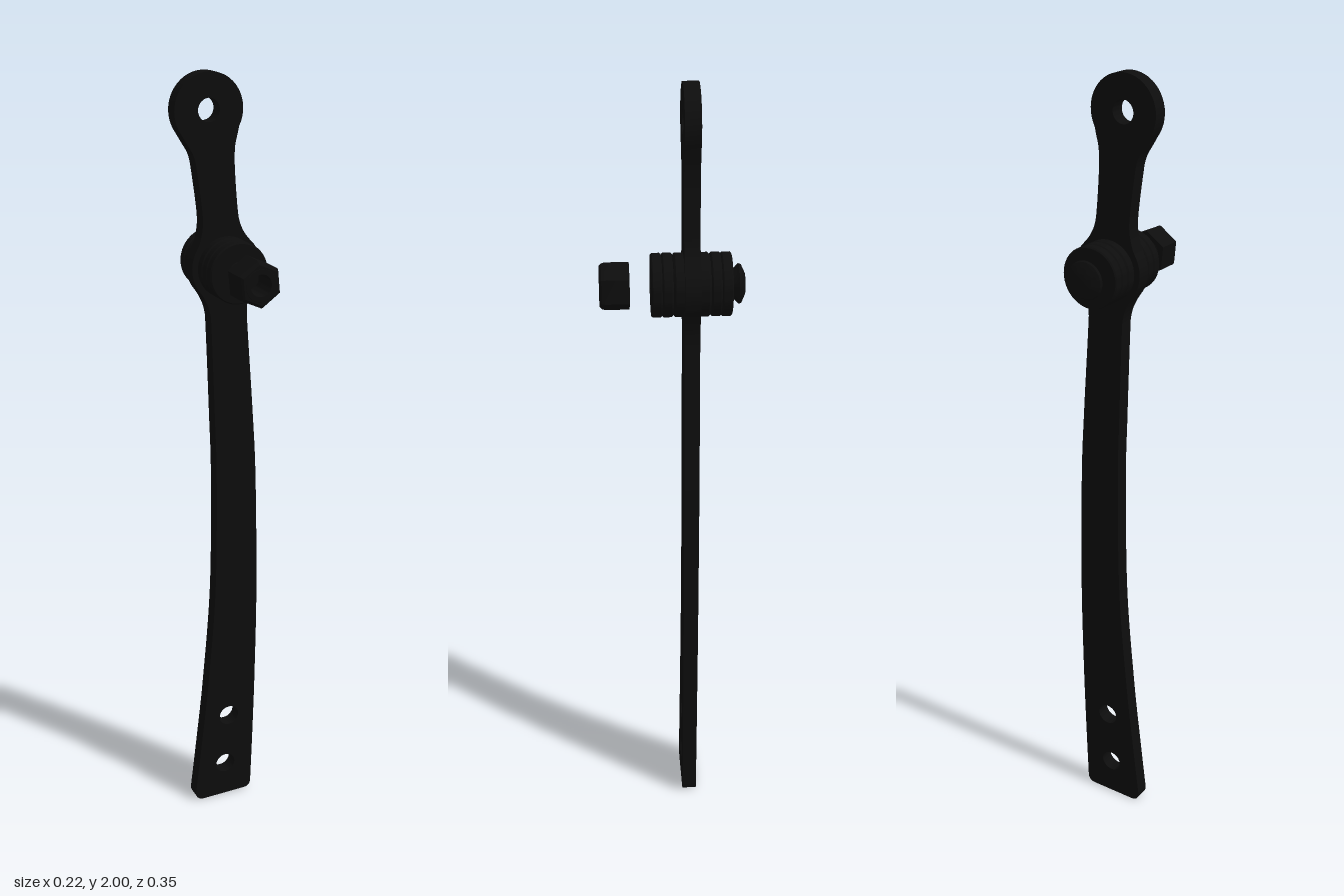
import * as THREE from 'three';
import { toCreasedNormals } from 'three/addons/utils/BufferGeometryUtils.js';

const black = new THREE.MeshStandardMaterial({ color: 0x0d0d0d });
black.name = 'black metal';

const PIVOT = [0.019, 1.533];

const vectors = (points) => points.map(([x, y]) => new THREE.Vector2(x, y));

function part(name, geometry, crease = 0.5) {
  const mesh = new THREE.Mesh(toCreasedNormals(geometry, crease), black);
  mesh.name = name;
  return mesh;
}

// Turned part around the pivot axis; profile points are [radius, z]
function turned(name, profile, sides = 48, phase = 0) {
  const geometry = new THREE.LatheGeometry(vectors(profile), sides, phase).rotateX(Math.PI / 2);
  const mesh = part(name, geometry);
  mesh.position.set(PIVOT[0], PIVOT[1], 0);
  return mesh;
}

// Ring with small chamfers on the outer edges
function ring(name, back, front, outer, inner, c = 0.003) {
  return turned(name, [
    [inner, back], [outer - c, back], [outer, back + c],
    [outer, front - c], [outer - c, front], [inner, front], [inner, back],
  ]);
}

function createLever() {
  const rad = THREE.MathUtils.degToRad;
  const s = new THREE.Shape();
  // Foot with rounded corners
  s.moveTo(-0.05, 0.003);
  s.lineTo(0.075, 0.006);
  s.quadraticCurveTo(0.094, 0.007, 0.095, 0.028);
  // Right edge up to the pivot boss
  s.splineThru(vectors([[0.101, 0.2], [0.106, 0.39], [0.109, 0.65], [0.103, 0.97],
    [0.093, 1.15], [0.078, 1.36], [0.075, 1.42], [0.081, 1.455], [0.092, 1.483]]));
  s.absarc(0.018, 1.534, 0.09, rad(-33), rad(33), false);
  // Neck and top eye
  s.splineThru(vectors([[0.07, 1.61], [0.055, 1.64], [0.048, 1.68], [0.041, 1.77],
    [0.041, 1.82], [0.047, 1.85]]));
  s.absarc(-0.026, 1.912, 0.088, rad(-28), rad(210), false);
  s.splineThru(vectors([[-0.085, 1.84], [-0.065, 1.805], [-0.056, 1.76], [-0.044, 1.67],
    [-0.044, 1.63], [-0.052, 1.595]]));
  s.absarc(0.018, 1.534, 0.09, rad(150), rad(212), false);
  // Left edge back to the foot
  s.splineThru(vectors([[-0.038, 1.455], [-0.025, 1.42], [-0.021, 1.37], [-0.013, 1.15],
    [-0.008, 0.97], [-0.012, 0.65], [-0.034, 0.37], [-0.055, 0.18], [-0.073, 0.03]]));
  s.quadraticCurveTo(-0.074, 0.004, -0.05, 0.003);

  // Eye hole and two mounting holes
  for (const [x, y] of [[-0.026, 1.912], [0.028, 0.257], [0.017, 0.104]]) {
    s.holes.push(new THREE.Path().absarc(x, y, 0.028, 0, Math.PI * 2, true));
  }
  const geometry = new THREE.ExtrudeGeometry(s, { depth: 0.038, bevelEnabled: false, curveSegments: 16 });
  geometry.translate(0, 0, -0.066);
  return part('lever', geometry);
}

export function createModel() {
  const model = new THREE.Group();
  model.name = 'pivoting lever';
  model.add(createLever());

  // Bushing through the lever, with two washers on each side
  model.add(ring('bushing', -0.091, -0.003, 0.076, 0.03, 0.005));
  [[-0.142, -0.117], [-0.116, -0.092], [-0.002, 0.023], [0.024, 0.049]].forEach(([back, front], i) => {
    model.add(ring('washer' + (i + 1), back, front, 0.076, 0.03));
  });

  // Bolt: domed head at the back, shank inside the stack
  model.add(turned('bolt', [
    [0, -0.174], [0.026, -0.174], [0.046, -0.165], [0.048, -0.159],
    [0.031, -0.142], [0.03, -0.14], [0.03, 0.046], [0.027, 0.048], [0, 0.048],
  ]));

  // Loose hexagonal nut with a round collar in its bore
  model.add(turned('nut', [
    [0.034, 0.1], [0.0585, 0.1], [0.0585, 0.158], [0.056, 0.166],
    [0.05, 0.171], [0.034, 0.171],
  ], 6, 0.1));
  model.add(ring('nutCollar', 0.0995, 0.1715, 0.04, 0.027, 0.001));
  return model;
}
